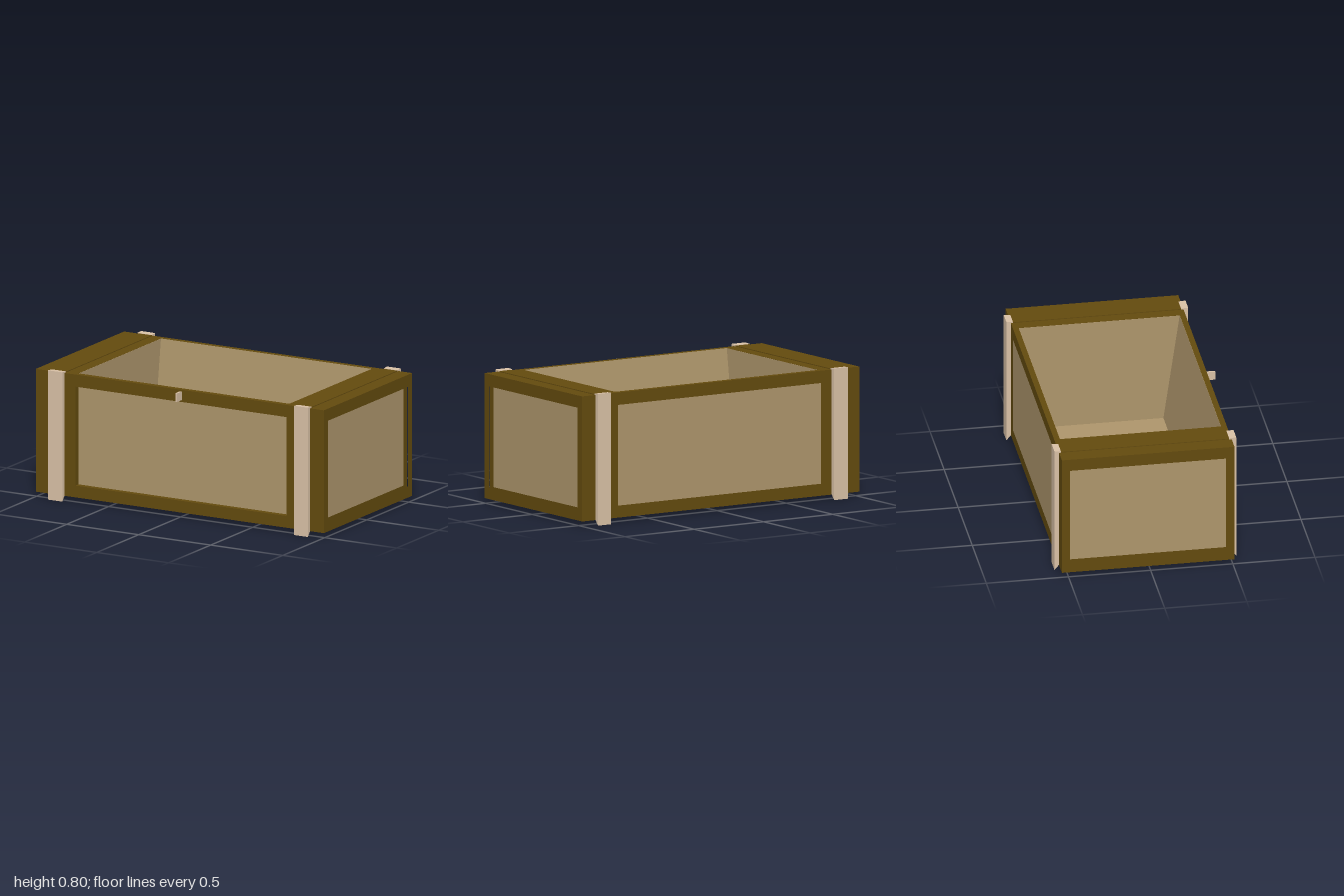
import * as THREE from 'three';

const mat = (color) => new THREE.MeshStandardMaterial({ color, flatShading: true });
const brown = mat(0x634a0e), tan = mat(0xad956b), pale = mat(0xd8c0a5);

// Extents of the crate body and of the open middle
const BOTTOM = 0.03, TOP = 0.79, FRONT = 0.51, BACK = -0.54;
const X0 = -0.725, X1 = 0.74;
const PANEL_LOW = 0.103, PANEL_HIGH = 0.715;

export function createModel() {
  const crate = new THREE.Group();
  crate.name = 'crate';

  const add = (name, geometry, material) => {
    const mesh = new THREE.Mesh(geometry, material);
    mesh.name = name;
    crate.add(mesh);
    return mesh;
  };

  // Box given by its limits on each axis
  const box = (name, [xa, xb], [ya, yb], [za, zb], material) =>
    add(name, new THREE.BoxGeometry(xb - xa, yb - ya, zb - za), material)
      .position.set((xa + xb) / 2, (ya + yb) / 2, (za + zb) / 2);

  // Profile of [z, y] points, with optional hole, extruded along x
  const extrudeX = (name, points, xa, xb, material, hole) => {
    const toVec = ([z, y]) => new THREE.Vector2(-z, y);
    const shape = new THREE.Shape(points.map(toVec));
    if (hole) shape.holes.push(new THREE.Path(hole.map(toVec)));
    const geometry = new THREE.ExtrudeGeometry(shape, { depth: xb - xa, bevelEnabled: false });
    geometry.rotateY(Math.PI / 2).translate(xa, 0, 0);
    return add(name, geometry, material);
  };

  const rect = (za, zb, ya, yb) => [[za, ya], [zb, ya], [zb, yb], [za, yb]];

  // Bottom board and the long top rails
  box('bottomBoard', [X0, X1], [BOTTOM, PANEL_LOW], [BACK, FRONT], brown);
  box('frontRail', [X0, X1], [PANEL_HIGH, TOP], [0.475, FRONT], brown);
  box('backRail', [X0, X1], [PANEL_HIGH, TOP], [BACK, -0.505], brown);

  // Trough: recessed front panel, flush back panel, sloping inner walls and floor
  extrudeX('trough', [
    [0.475, PANEL_LOW], [0.475, TOP], [0.474, TOP], [0.375, 0.106],
    [-0.41, 0.106], [-0.504, TOP], [-0.505, TOP], [-0.505, PANEL_HIGH],
    [BACK, PANEL_HIGH], [BACK, PANEL_LOW],
  ], X0, X1, tan);

  // Ends: solid block, framed recess, tan panels outside and inside
  for (const side of [-1, 1]) {
    const label = side > 0 ? 'left' : 'right';
    const inner = side > 0 ? X1 : X0;
    const deep = side * 0.965;
    const span = (a, b) => [Math.min(a, b), Math.max(a, b)];
    box(label + 'EndBlock', span(inner, deep), [BOTTOM, TOP], [BACK, FRONT], brown);
    extrudeX(label + 'EndFrame', rect(BACK, FRONT, BOTTOM, TOP), ...span(deep, side), brown,
      rect(-0.49, 0.463, 0.1, PANEL_HIGH));
    box(label + 'EndPanel', span(deep, deep + side * 0.003), [0.1, PANEL_HIGH], [-0.49, 0.463], tan);
    extrudeX(label + 'InnerWall', [[0.375, 0.106], [0.474, TOP - 0.001], [-0.504, TOP - 0.001], [-0.41, 0.106]],
      ...span(inner, inner - side * 0.002), tan);

    // Battens with slanted feet, joined by a low strip across the top
    const [ba, bb] = side > 0 ? [0.81, 0.905] : [-0.9, -0.8];
    extrudeX(label + 'FrontBatten',
      [[0.495, 0.05], [0.513, BOTTOM], [0.538, 0], [0.538, 0.8], [0.495, 0.797]], ba, bb, pale);
    extrudeX(label + 'BackBatten',
      [[-0.528, 0.05], [-0.543, BOTTOM], [-0.568, 0], [-0.568, 0.8], [-0.528, 0.797]], ba, bb, pale);
    box(label + 'TopStrip', [ba, bb], [TOP - 0.01, 0.795], [-0.528, 0.495], brown);
  }

  // Small latch on the front rail
  box('latch', [0, 0.013], [0.727, 0.78], [0.505, 0.565], pale);

  return crate;
}
